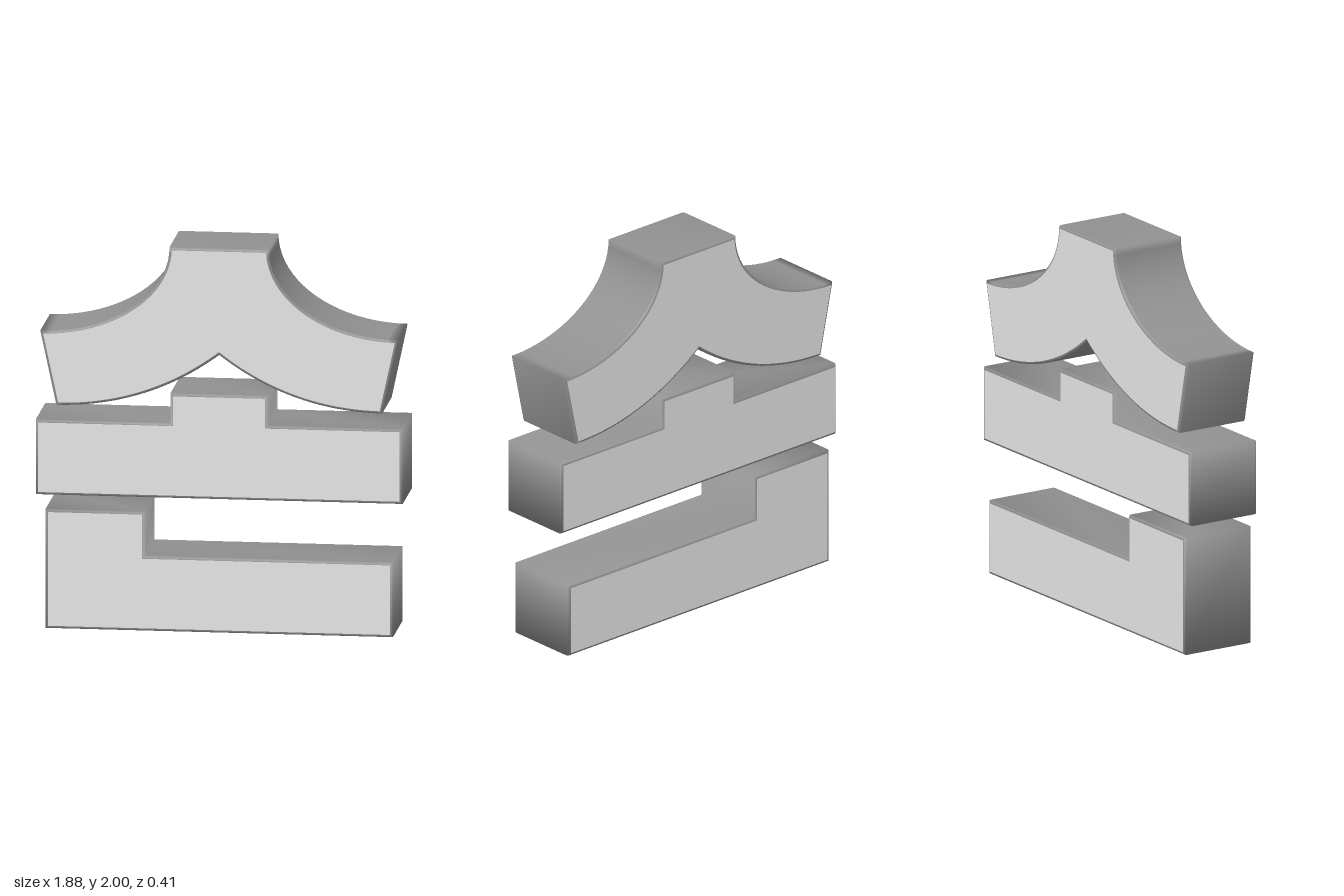
import * as THREE from 'three';
import { mergeVertices } from 'three/addons/utils/BufferGeometryUtils.js';

const DEPTH = 0.414;
const BEVEL = 0.014;

// Copy one group of faces into its own geometry with shared, smooth normals
function facesOf(geometry, { start, count }) {
  const corners = geometry.attributes.position.array.slice(start * 3, (start + count) * 3);
  const faces = new THREE.BufferGeometry();
  faces.setAttribute('position', new THREE.BufferAttribute(corners, 3));
  const merged = mergeVertices(faces, 1e-4);
  merged.computeVertexNormals();
  return merged;
}

// Extrude an outline to a slab centred on z = 0: pale flat faces, darker rounded rim
function slab(name, shape, faceMaterial, rimMaterial) {
  const geometry = new THREE.ExtrudeGeometry(shape, {
    depth: DEPTH - 2 * BEVEL,
    bevelThickness: BEVEL,
    bevelSize: BEVEL,
    bevelOffset: -BEVEL,
    bevelSegments: 3,
    curveSegments: 20,
  });
  geometry.translate(0, 0, -DEPTH / 2 + BEVEL);
  const [faceGroup, rimGroup] = geometry.groups;

  const faces = new THREE.Mesh(facesOf(geometry, faceGroup), faceMaterial);
  faces.name = 'frontAndBack';
  const rim = new THREE.Mesh(facesOf(geometry, rimGroup), rimMaterial);
  rim.name = 'rim';

  const block = new THREE.Group();
  block.name = name;
  block.add(faces, rim);
  return block;
}

function polygon(points) {
  return new THREE.Shape(points.map(([x, y]) => new THREE.Vector2(x, y)));
}

export function createModel() {
  const paleGrey = new THREE.MeshStandardMaterial({ color: 0xe6e6e6 });
  paleGrey.name = 'paleGrey';
  const midGrey = new THREE.MeshStandardMaterial({ color: 0x919191 });
  midGrey.name = 'midGrey';

  // Lower block: raised at one end
  const stepped = polygon([
    [-0.89, 0], [0.89, 0], [0.89, 0.39], [-0.38, 0.39], [-0.38, 0.62], [-0.89, 0.62],
  ]);

  // Middle block: raised in the centre
  const tabbed = polygon([
    [-0.94, 0.695], [0.94, 0.695], [0.94, 1.085], [0.25, 1.085],
    [0.25, 1.24], [-0.25, 1.24], [-0.25, 1.085], [-0.94, 1.085],
  ]);

  // Upper block: splits into two flared, curved arms
  const flared = new THREE.Shape();
  flared.moveTo(0, 1.445);
  flared.quadraticCurveTo(0.37, 1.163, 0.835, 1.163);
  flared.lineTo(0.917, 1.548);
  flared.bezierCurveTo(0.55, 1.548, 0.255, 1.75, 0.255, 2);
  flared.lineTo(-0.255, 2);
  flared.bezierCurveTo(-0.255, 1.75, -0.55, 1.548, -0.917, 1.548);
  flared.lineTo(-0.835, 1.163);
  flared.quadraticCurveTo(-0.37, 1.163, 0, 1.445);

  const model = new THREE.Group();
  model.name = 'stackedBlocks';
  model.add(
    slab('lowerSteppedBlock', stepped, paleGrey, midGrey),
    slab('middleTabbedBlock', tabbed, paleGrey, midGrey),
    slab('upperFlaredBlock', flared, paleGrey, midGrey),
  );
  return model;
}
